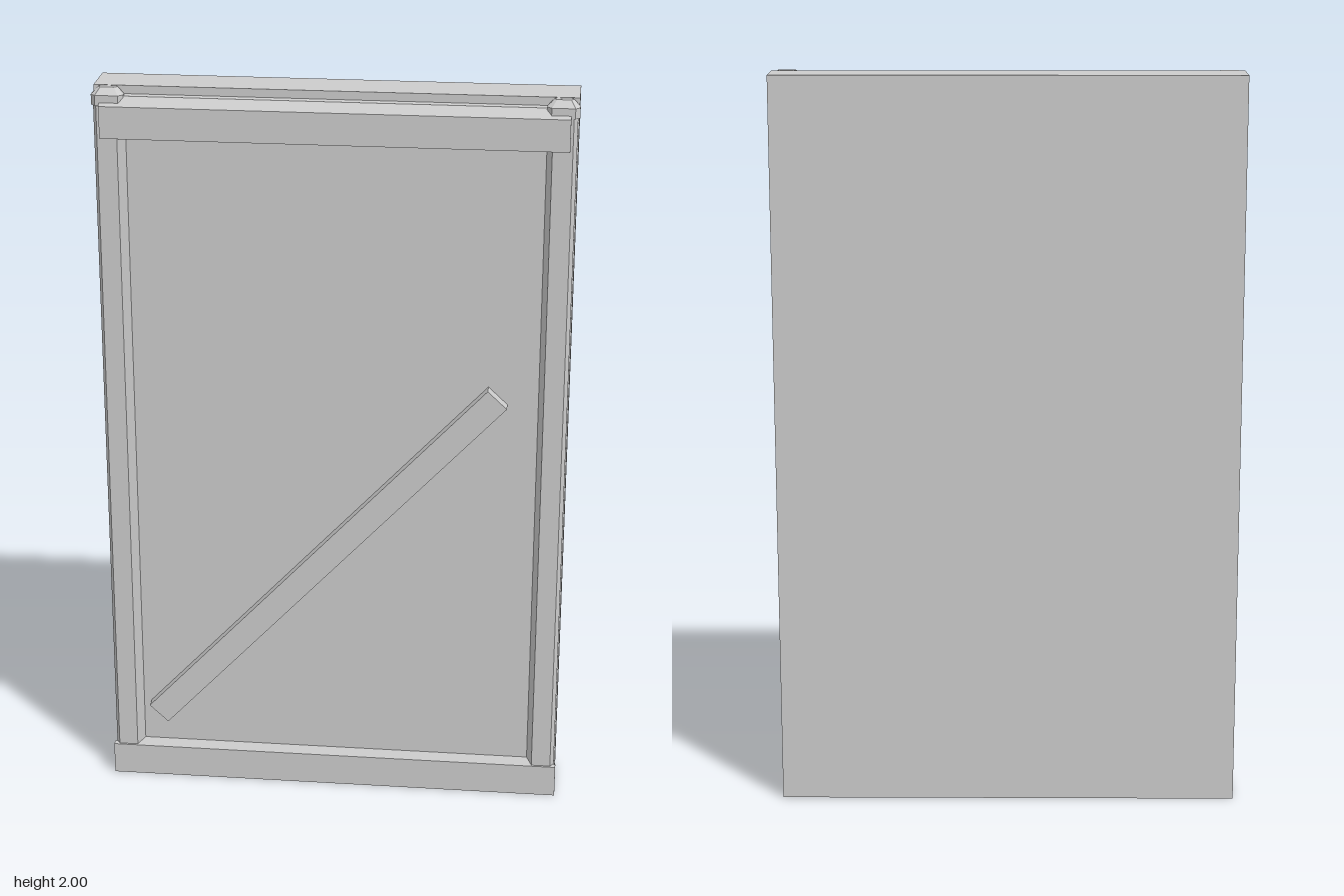
import * as THREE from 'three';

const grey = new THREE.MeshStandardMaterial({ color: 0xcccccc, flatShading: true });
grey.name = 'light grey';

function add(group, geometry, name) {
  const mesh = new THREE.Mesh(geometry, grey);
  mesh.name = name;
  group.add(mesh);
  return mesh;
}

// Box given by its limits on each axis
function block(group, name, x0, x1, y0, y1, z0, z1) {
  const m = add(group, new THREE.BoxGeometry(x1 - x0, y1 - y0, z1 - z0), name);
  m.position.set((x0 + x1) / 2, (y0 + y1) / 2, (z0 + z1) / 2);
  return m;
}

function extrude(points, depth) {
  const shape = new THREE.Shape(points.map(([x, y]) => new THREE.Vector2(x, y)));
  return new THREE.ExtrudeGeometry(shape, { depth, bevelEnabled: false });
}

// Loft through octagonal plan sections, closed at both ends
function cornerCap(cx) {
  const sections = [ // y, half width, z back, z front, corner cut
    [1.955, 0.042, 0.035, 0.076, 0.012],
    [1.982, 0.042, 0.035, 0.076, 0.012],
    [2.0, 0.024, 0.039, 0.058, 0.006],
  ];
  const pos = [], index = [];
  for (const [y, w, b, f, c] of sections) {
    const ring = [[-w + c, f], [w - c, f], [w, f - c], [w, b + c],
      [w - c, b], [-w + c, b], [-w, b + c], [-w, f - c]];
    for (const [x, z] of ring) pos.push(cx + x, y, z);
  }
  for (let s = 0; s < 2; s++) {
    for (let i = 0; i < 8; i++) {
      const a = s * 8 + i, b = s * 8 + (i + 1) % 8;
      index.push(a, b, b + 8, a, b + 8, a + 8);
    }
  }
  for (let i = 1; i < 7; i++) {
    index.push(0, i + 1, i, 16, 16 + i, 17 + i);
  }
  const g = new THREE.BufferGeometry();
  g.setAttribute('position', new THREE.Float32BufferAttribute(pos, 3));
  g.setIndex(index);
  const flat = g.toNonIndexed();
  flat.computeVertexNormals();
  return flat;
}

export function createModel() {
  const model = new THREE.Group();
  model.name = 'framedPanel';

  // Thick backing slab
  block(model, 'backSlab', -0.625, 0.625, 0, 2, -0.087, 0.035);

  // Side stiles with bevelled inner and outer edges
  for (const s of [-1, 1]) {
    let profile = [[0.545, 0.035], [0.622, 0.035], [0.622, 0.063], [0.612, 0.079], [0.56, 0.079]]
      .map(([x, z]) => [s * x, -z]);
    const g = extrude(profile, 1.955);
    g.rotateX(-Math.PI / 2);
    add(model, g, s > 0 ? 'leftStile' : 'rightStile');
  }

  // Top rail, sloping back along its upper edge
  const rail = extrude([[-0.035, 1.87], [-0.084, 1.87], [-0.084, 1.955],
    [-0.06, 1.978], [-0.035, 1.978]], 1.21);
  rail.rotateY(Math.PI / 2);
  rail.translate(-0.605, 0, 0);
  add(model, rail, 'topRail');

  // Bottom rail with a slightly wider front plate
  block(model, 'bottomRail', -0.622, 0.622, 0, 0.09, 0.035, 0.07);
  block(model, 'bottomPlate', -0.627, 0.627, 0, 0.09, 0.068, 0.085);

  // Rounded caps on the top corners
  add(model, cornerCap(0.585), 'leftCornerCap');
  add(model, cornerCap(-0.585), 'rightCornerCap');

  // Diagonal bar lying on the panel
  const bar = add(model, new THREE.BoxGeometry(1.365, 0.071, 0.035), 'diagonalBar');
  bar.position.set(-0.03, 0.685, 0.0525);
  bar.rotation.z = Math.atan2(0.995, 0.935);

  return model;
}
